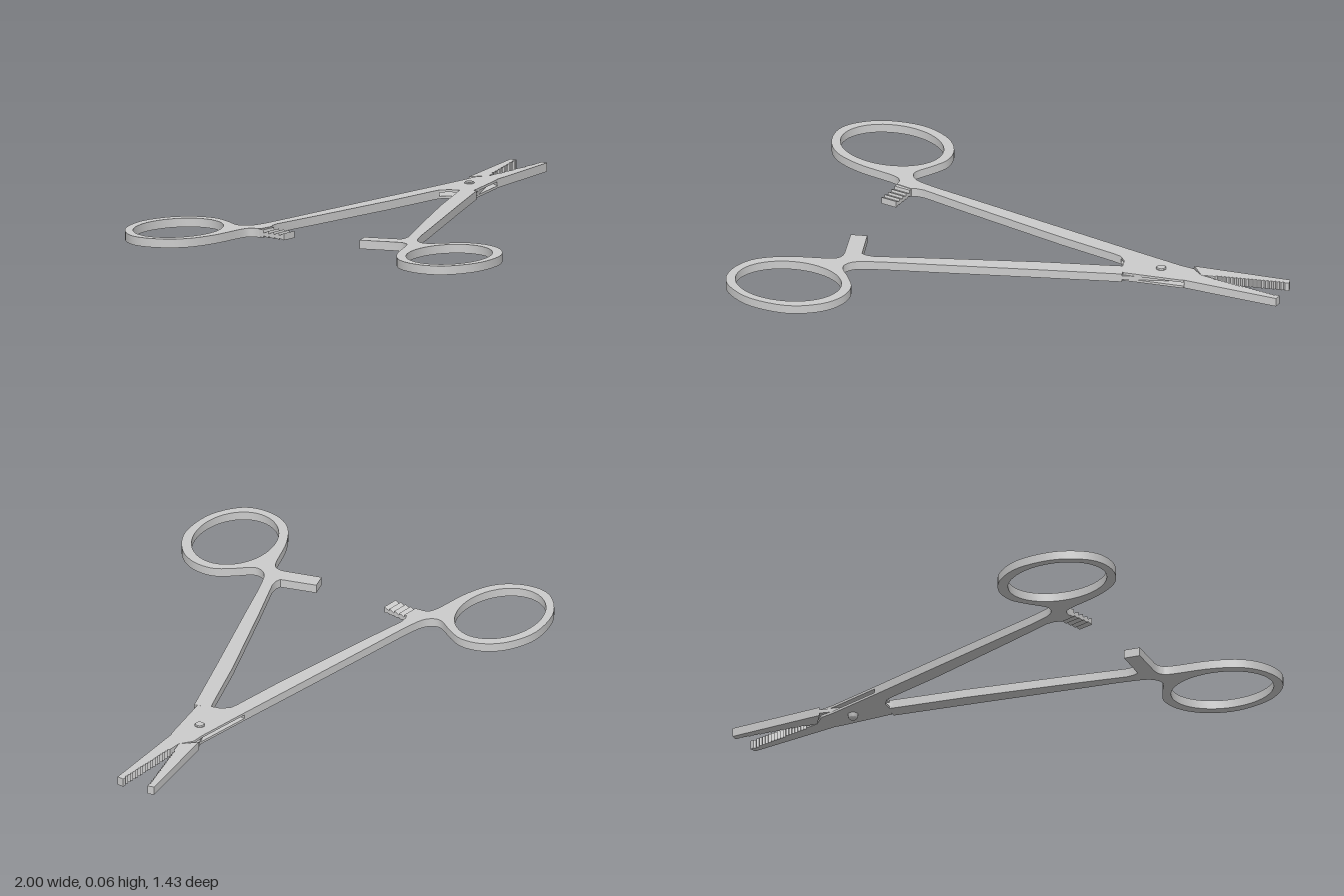
import * as THREE from 'three';
import { toCreasedNormals } from 'three/addons/utils/BufferGeometryUtils.js';

const Y0 = 0.024, Y1 = 0.056;          // underside and top of the steel
const SLOT0 = 0.033, SLOT1 = 0.047;    // box-joint slot
const PIVOT = { x: 0.53, z: -0.235 };
const OPEN = THREE.MathUtils.degToRad(22);

export function createModel() {
  const model = new THREE.Group();
  const mat = new THREE.MeshStandardMaterial({ color: 0xcccccc, metalness: 0.2, roughness: 0.6 });

  const add = (parent, name, geo) => {
    const mesh = new THREE.Mesh(geo, mat);
    mesh.name = name;
    parent.add(mesh);
    return mesh;
  };

  // Plan placement: first half as drawn, second half mirrored and swung open about the pivot
  const asDrawn = ([x, z]) => new THREE.Vector2(x, -z);
  const swung = ([x, z]) => {
    const dx = x - PIVOT.x, dz = PIVOT.z - z;
    const c = Math.cos(OPEN), s = Math.sin(OPEN);
    return new THREE.Vector2(PIVOT.x + dx * c + dz * s, -(PIVOT.z - dx * s + dz * c));
  };

  // Flat plate from an [x, z] outline between two heights
  const plate = (place, outline, y0, y1, hole) => {
    const shape = new THREE.Shape(outline.map(place));
    if (hole) shape.holes.push(new THREE.Path(hole.map(place)));
    const geo = new THREE.ExtrudeGeometry(shape, { depth: y1 - y0, bevelEnabled: false });
    geo.rotateX(-Math.PI / 2).translate(0, y0, 0);
    return toCreasedNormals(geo, 0.5);
  };

  const smooth = (pts, n) =>
    new THREE.SplineCurve(pts.map(p => new THREE.Vector2(...p))).getPoints(n).map(p => [p.x, p.y]);

  // Finger ring contour running into the shank at both ends
  const ringOutline = smooth([
    [-0.45, -0.342], [-0.545, -0.352], [-0.585, -0.373], [-0.597, -0.41], [-0.565, -0.48],
    [-0.545, -0.55], [-0.57, -0.63], [-0.64, -0.692], [-0.755, -0.72], [-0.89, -0.685],
    [-0.975, -0.61], [-1, -0.535], [-0.975, -0.45], [-0.91, -0.385], [-0.8, -0.352],
    [-0.655, -0.343], [-0.617, -0.325], [-0.608, -0.295]], 72);
  const ringHole = [];
  for (let i = 0; i < 48; i++) {
    const a = i / 48 * Math.PI * 2, u = 0.193 * Math.cos(a), v = 0.148 * Math.sin(a), t = 0.1;
    ringHole.push([-0.774 + u * Math.cos(t) + v * Math.sin(t), -0.537 - u * Math.sin(t) + v * Math.cos(t)]);
  }
  const handleOutline = (endX, tabZ) => [
    ...ringOutline,
    ...(tabZ ? [[-0.608, tabZ], [-0.548, tabZ]] : []),
    [-0.546, -0.29], [-0.53, -0.3], [-0.5, -0.305], [-0.3, -0.286], [0.1, -0.253], [0.33, -0.242],
    [endX, -0.238], [endX, -0.3], [0.1, -0.314], [-0.3, -0.335]];

  // Jaw with a serrated gripping edge
  const jawOutline = () => {
    const pts = [[0.645, -0.2], [0.68, -0.264], [0.73, -0.266]];
    const teeth = 18;
    for (let i = 0; i < teeth; i++) {
      const x = 0.73 + 0.255 * i / teeth, z = -0.266 - 0.009 * i / teeth;
      pts.push([x + 0.007, z + 0.006], [x + 0.255 / teeth, z - 0.0005]);
    }
    pts.push([1, -0.275], [1, -0.25]);
    return pts;
  };

  // Outer half: handle, forked joint and jaw
  const outer = new THREE.Group();
  outer.name = 'outerHalf';
  model.add(outer);
  add(outer, 'outerHandle', plate(asDrawn, handleOutline(0.36), Y0, Y1, ringHole));
  add(outer, 'outerJaw', plate(asDrawn, jawOutline(), Y0, Y1));
  const cheek = [
    [0.36, -0.3], [0.58, -0.29], [0.63, -0.293], [0.68, -0.264], [0.645, -0.198],
    [0.62, -0.19], [0.43, -0.137], [0.402, -0.18], [0.388, -0.215], [0.36, -0.238]];
  add(outer, 'lowerJointCheek', plate(asDrawn, cheek, Y0, SLOT0));
  add(outer, 'upperJointCheek', plate(asDrawn, cheek, SLOT1, Y1));

  // Ratchet tab: saw-tooth profile in (z, y), extruded across x
  const top = [[-0.3, 0.054], [-0.28, 0.054]], bottom = [[-0.3, 0.026], [-0.28, 0.026]];
  for (let i = 0; i < 4; i++) {
    const z = -0.28 + i * 0.0235;
    top.push([z + 0.002, 0.042], [z + 0.0235, 0.052]);
    bottom.push([z + 0.002, 0.032], [z + 0.0235, 0.027]);
  }
  const saw = new THREE.Shape([...top, ...bottom.reverse()].map(([z, y]) => new THREE.Vector2(-z, y)));
  const tab = new THREE.ExtrudeGeometry(saw, { depth: 0.062, bevelEnabled: false });
  tab.rotateY(Math.PI / 2).translate(-0.609, 0, 0);
  add(outer, 'ratchetTab', tab);

  // Inner half: handle with plain catch tab, thin joint tongue and jaw
  const inner = new THREE.Group();
  inner.name = 'innerHalf';
  model.add(inner);
  add(inner, 'innerHandle', plate(swung, handleOutline(0.398, -0.155), Y0, Y1, ringHole));
  add(inner, 'jointTongue', plate(swung,
    [[0.38, -0.299], [0.6, -0.28], [0.69, -0.265], [0.69, -0.208], [0.645, -0.2], [0.38, -0.239]], SLOT0, SLOT1));
  add(inner, 'innerJaw', plate(swung, jawOutline(), Y0, Y1));

  // Pivot rivet: flat head above, domed head below
  const profile = [];
  for (let i = 0; i <= 8; i++) {
    const a = i / 8 * Math.PI / 2;
    profile.push(new THREE.Vector2(0.018 * Math.sin(a), 0.018 - 0.018 * Math.cos(a)));
  }
  profile.push(new THREE.Vector2(0.018, 0.059), new THREE.Vector2(0.015, 0.062), new THREE.Vector2(0, 0.062));
  const rivet = add(model, 'pivotRivet', toCreasedNormals(new THREE.LatheGeometry(profile, 24), 0.5));
  rivet.position.set(PIVOT.x, 0, PIVOT.z);

  return model;
}
